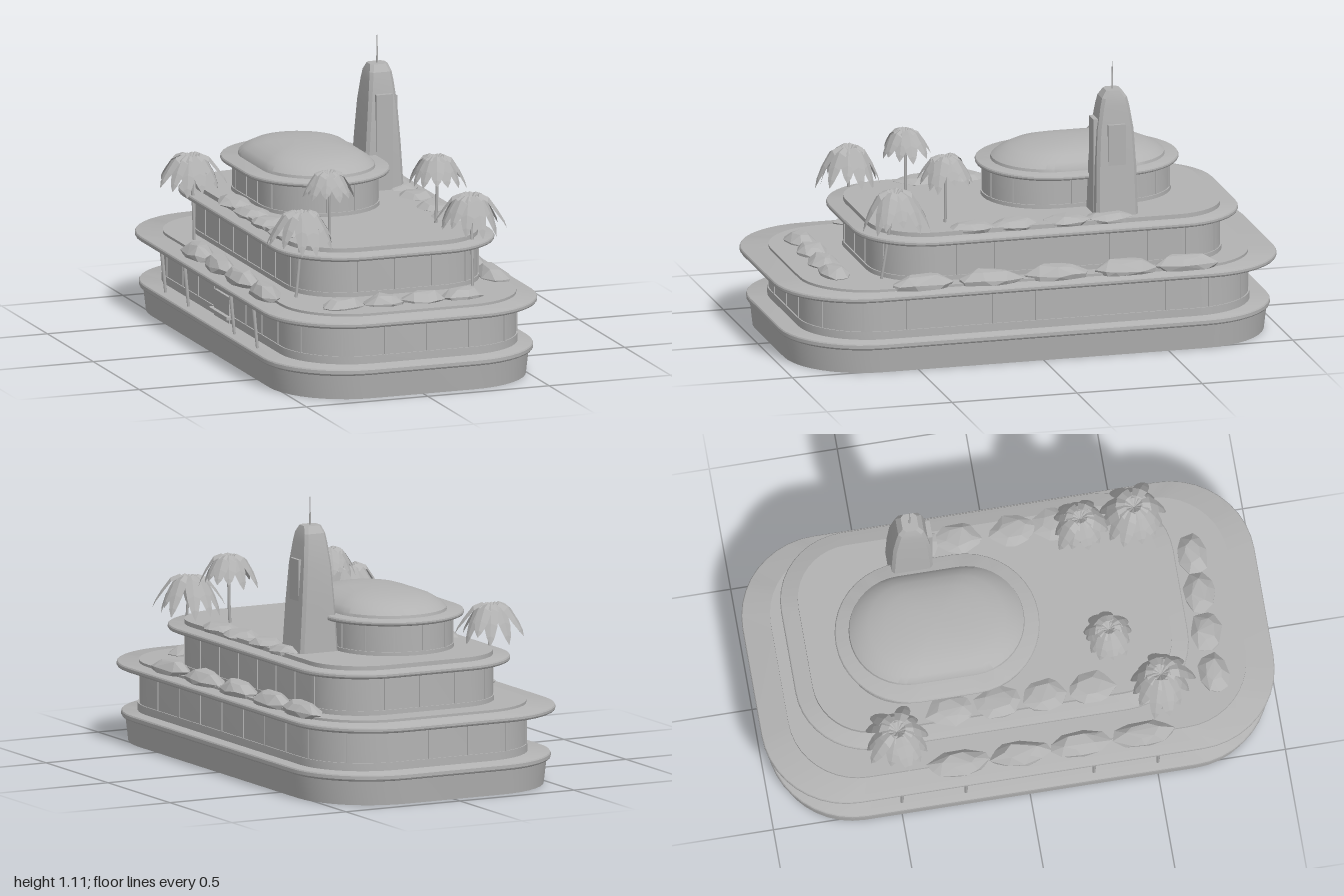
import * as THREE from 'three';
import { toCreasedNormals } from 'three/addons/utils/BufferGeometryUtils.js';
import { ConvexGeometry } from 'three/addons/geometries/ConvexGeometry.js';

const grey = new THREE.MeshStandardMaterial({ color: 0xb2b2b2 });
grey.name = 'concrete grey';
const leafGrey = grey.clone();
leafGrey.name = 'leaf grey';
leafGrey.side = THREE.DoubleSide;

let seed = 7;
const rand = () => (seed = (seed * 16807) % 2147483647) / 2147483647;

// Rounded rectangle in plan, seen from above
function outline(x0, x1, z0, z1, r, n = 10) {
  const cx = (x0 + x1) / 2, cz = (z0 + z1) / 2;
  const hx = (x1 - x0) / 2 - r, hz = (z1 - z0) / 2 - r;
  const pts = [];
  [[1, 1], [-1, 1], [-1, -1], [1, -1]].forEach(([sx, sz], q) => {
    for (let i = 0; i <= n; i++) {
      const a = (q + i / n) * Math.PI / 2;
      pts.push([cx + sx * hx + r * Math.cos(a), cz + sz * hz + r * Math.sin(a)]);
    }
  });
  return pts;
}

// Skin closed plan rings of [points, y] and cap both ends
function loft(rings, crease = 0.5) {
  const pos = [], idx = [], n = rings[0][0].length, last = rings.length - 1;
  rings.forEach(([pts, y]) => pts.forEach(([x, z]) => pos.push(x, y, z)));
  for (let k = 0; k < last; k++) for (let i = 0; i < n; i++) {
    const j = (i + 1) % n, a = k * n + i, b = k * n + j;
    idx.push(a, a + n, b + n, a, b + n, b);
  }
  for (const k of [0, last]) {
    const [pts, y] = rings[k], c = pos.length / 3;
    pos.push(pts.reduce((s, p) => s + p[0], 0) / n, y, pts.reduce((s, p) => s + p[1], 0) / n);
    for (let i = 0; i < n; i++) {
      const j = (i + 1) % n;
      idx.push(c, k * n + (k ? j : i), k * n + (k ? i : j));
    }
  }
  const g = new THREE.BufferGeometry();
  g.setAttribute('position', new THREE.Float32BufferAttribute(pos, 3));
  g.setIndex(idx);
  return toCreasedNormals(g, crease);
}

// Layer from plan [x0, x1, z0, z1, r] and sections [y, inset]
const layer = ([x0, x1, z0, z1, r], sections) => loft(sections.map(([y, d]) =>
  [outline(x0 + d, x1 - d, z0 + d, z1 - d, r - d), y]));

function add(parent, name, geo, x = 0, y = 0, z = 0, mat = grey) {
  const m = new THREE.Mesh(geo, mat);
  m.name = name;
  m.position.set(x, y, z);
  parent.add(m);
  return m;
}

const slab = (plan, y0, y1) => layer(plan, [[y0, 0.012], [y0 + 0.004, 0.003], [y0 + 0.009, 0], [y1 - 0.007, 0], [y1 - 0.002, 0.003], [y1, 0.008]]);

// Evenly spaced window bars round a wall
function mullions(parent, plan, y0, y1, spacing) {
  const pts = outline(...plan), n = pts.length;
  const total = pts.reduce((s, p, i) => s + Math.hypot(pts[(i + 1) % n][0] - p[0], pts[(i + 1) % n][1] - p[1]), 0);
  const step = total / Math.round(total / spacing);
  let next = step / 2, run = 0;
  pts.forEach((p, i) => {
    const q = pts[(i + 1) % n], dx = q[0] - p[0], dz = q[1] - p[1], len = Math.hypot(dx, dz);
    for (; next < run + len; next += step) {
      const t = (next - run) / len;
      const m = add(parent, 'windowBar', new THREE.BoxGeometry(0.006, y1 - y0, 0.008), p[0] + dx * t, (y0 + y1) / 2, p[1] + dz * t);
      m.rotation.y = -Math.atan2(dz, dx);
    }
    run += len;
  });
}

// Faceted boulder with a flattened crown
function rock(parent, x, y, z, sx, sy, sz) {
  const pts = [];
  [[0, 0.9, 9], [0.45, 1, 9], [1, 0.55, 6]].forEach(([h, r, n]) => {
    for (let i = 0; i < n; i++) {
      const a = (i + 0.6 * rand()) / n * Math.PI * 2, k = r * (0.88 + 0.16 * rand());
      pts.push(new THREE.Vector3(Math.cos(a) * k * sx / 2, (h && h - 0.2 * rand()) * sy, Math.sin(a) * k * sz / 2));
    }
  });
  add(parent, 'rock', new ConvexGeometry(pts), x, y, z);
}

// Folded, drooping palm leaf along +x
function leafGeometry(R, droop) {
  const path = [[0, 0, 0.006], [0.25, 0.14, 0.02], [0.5, 0.08, 0.03], [0.75, -0.3, 0.026], [0.92, -0.7, 0.015], [1, -1, 0.001]];
  const pos = [], idx = [];
  path.forEach(([t, h, w], k) => {
    const y = h > 0 ? h * R * 1.6 : h * droop;
    pos.push(t * R, y - w * 0.45, w, t * R, y, 0, t * R, y - w * 0.45, -w);
    if (k) for (const s of [0, 1]) {
      const a = (k - 1) * 3 + s, b = k * 3 + s;
      idx.push(a, b, b + 1, a, b + 1, a + 1);
    }
  });
  const g = new THREE.BufferGeometry();
  g.setAttribute('position', new THREE.Float32BufferAttribute(pos, 3));
  g.setIndex(idx);
  const flat = g.toNonIndexed();
  flat.computeVertexNormals();
  return flat;
}

function palm(parent, base, top, R) {
  const g = new THREE.Group();
  g.name = 'palm';
  const a = new THREE.Vector3(...base), b = new THREE.Vector3(...top);
  const mid = a.clone().lerp(b, 0.5).add(new THREE.Vector3(0.006, 0, 0));
  add(g, 'palmTrunk', new THREE.TubeGeometry(new THREE.QuadraticBezierCurve3(a, mid, b), 6, 0.006, 6));
  for (let i = 0; i < 12; i++) {
    const leaf = add(g, 'palmLeaf', leafGeometry(R * (0.85 + 0.25 * rand()), R * (0.65 + 0.35 * rand())), ...top, leafGrey);
    leaf.rotation.y = (i + 0.4 * rand()) / 12 * Math.PI * 2;
  }
  parent.add(g);
}

export function createModel() {
  const root = new THREE.Group();
  root.name = 'terracedBuilding';

  // Plinth
  add(root, 'plinth', layer([-0.53, 0.53, -0.965, 0.965, 0.32], [[0, 0.012], [0.1, 0]]));
  add(root, 'plinthRim', slab([-0.546, 0.546, -0.975, 0.975, 0.33], 0.095, 0.124));

  // Three storeys, each with a wall, window bars and an overhanging slab
  const storeys = [
    { wall: [-0.461, 0.488, -0.89, 0.895, 0.27], y: [0.12, 0.322], slab: [-0.553, 0.553, -1, 1, 0.33], sy: [0.287, 0.312], bars: [0.155, 0.288], gap: 0.17 },
    { wall: [-0.351, 0.42, -0.785, 0.615, 0.22], y: [0.31, 0.515], slab: [-0.414, 0.482, -0.853, 0.68, 0.28], sy: [0.474, 0.498], bars: [0.34, 0.476], gap: 0.15 },
    { wall: [-0.256, 0.212, -0.643, 0.09, 0.23], y: [0.5, 0.645], slab: [-0.31, 0.266, -0.677, 0.116, 0.286], sy: [0.635, 0.657], bars: [0.53, 0.637], gap: 0.12 },
  ];
  storeys.forEach((s, i) => {
    add(root, 'wall' + (i + 1), layer(s.wall, [[s.y[0], 0], [s.y[1], 0]]));
    add(root, 'roofSlab' + (i + 1), slab(s.slab, ...s.sy));
    mullions(root, s.wall, ...s.bars, s.gap);
    const [x0, x1, z0, z1, r] = s.wall, o = 0.005;
    add(root, 'windowSill' + (i + 1), layer([x0 - o, x1 + o, z0 - o, z1 + o, r + o], [[s.y[0], 0], [s.bars[0], 0]]));
  });

  // Oval dome
  const oval = outline(-0.24, 0.21, -0.625, 0.062, 0.224);
  const domeRings = [[0.645, 1], [0.668, 0.985], [0.688, 0.91], [0.709, 0.77], [0.723, 0.58], [0.732, 0.34], [0.735, 0.12]];
  add(root, 'dome', loft(domeRings.map(([y, k]) =>
    [oval.map(([x, z]) => [-0.015 + (x + 0.015) * k, -0.28 + (z + 0.28) * k]), y]), 0.6));

  // Tapering tower with two fins and a mast
  const tower = new THREE.Group();
  tower.name = 'tower';
  tower.position.set(0.296, 0, -0.335);
  const steps = [[0.49, 0.084, 0.084], [0.7, 0.071, 0.08], [0.85, 0.06, 0.072], [0.94, 0.05, 0.058], [0.975, 0.045, 0.05], [1.003, 0.036, 0.031]];
  add(tower, 'towerShaft', loft(steps.map(([y, hx, hz]) => [outline(-hx, hx, -hz, hz, 0.012, 1), y]), 0.3));
  add(tower, 'frontFin', new THREE.BoxGeometry(0.068, 0.4, 0.05), 0, 0.693, 0.059);
  add(tower, 'sideFin', new THREE.BoxGeometry(0.04, 0.38, 0.07), 0.05, 0.685, 0);
  add(tower, 'mast', new THREE.CylinderGeometry(0.0015, 0.004, 0.112, 6), 0, 1.056, 0);
  root.add(tower);

  // Slanted side posts and entrance
  for (const z of [-0.5, -0.25, 0.25, 0.5]) {
    const post = add(root, 'sidePost', new THREE.CylinderGeometry(0.008, 0.006, 0.172, 8), -0.521, 0.205, z);
    post.rotation.z = 0.1;
  }
  add(root, 'entranceDoor', new THREE.BoxGeometry(0.02, 0.105, 0.16), -0.462, 0.175, 0);
  add(root, 'entranceStep', new THREE.BoxGeometry(0.04, 0.012, 0.2), -0.468, 0.148, 0);

  // Rocks along both terraces
  for (const x of [-0.26, -0.09, 0.07, 0.23]) rock(root, x, 0.312, 0.76, 0.18, 0.048, 0.125);
  for (const z of [-0.27, -0.03, 0.2, 0.45]) rock(root, -0.465, 0.31, z, 0.11, 0.058, 0.25);
  for (const z of [-0.58, -0.34, -0.07, 0.2, 0.47]) rock(root, 0.465, 0.31, z, 0.115, 0.055, 0.27);
  for (const z of [-0.3, -0.13, 0.08, 0.25]) rock(root, 0.375, 0.502, z, 0.14, 0.034, 0.2);
  for (const z of [-0.28, -0.09, 0.09, 0.27]) rock(root, -0.31, 0.502, z, 0.14, 0.034, 0.2);

  // Palms: trunk foot, crown centre, crown radius
  palm(root, [-0.395, 0.31, -0.5], [-0.41, 0.635, -0.5], 0.13);
  palm(root, [-0.37, 0.31, 0.54], [-0.345, 0.635, 0.54], 0.13);
  palm(root, [-0.165, 0.5, 0.365], [-0.17, 0.745, 0.365], 0.098);
  palm(root, [0.285, 0.5, 0.33], [0.29, 0.76, 0.33], 0.112);
  palm(root, [0.335, 0.31, 0.6], [0.345, 0.645, 0.55], 0.13);

  return root;
}
